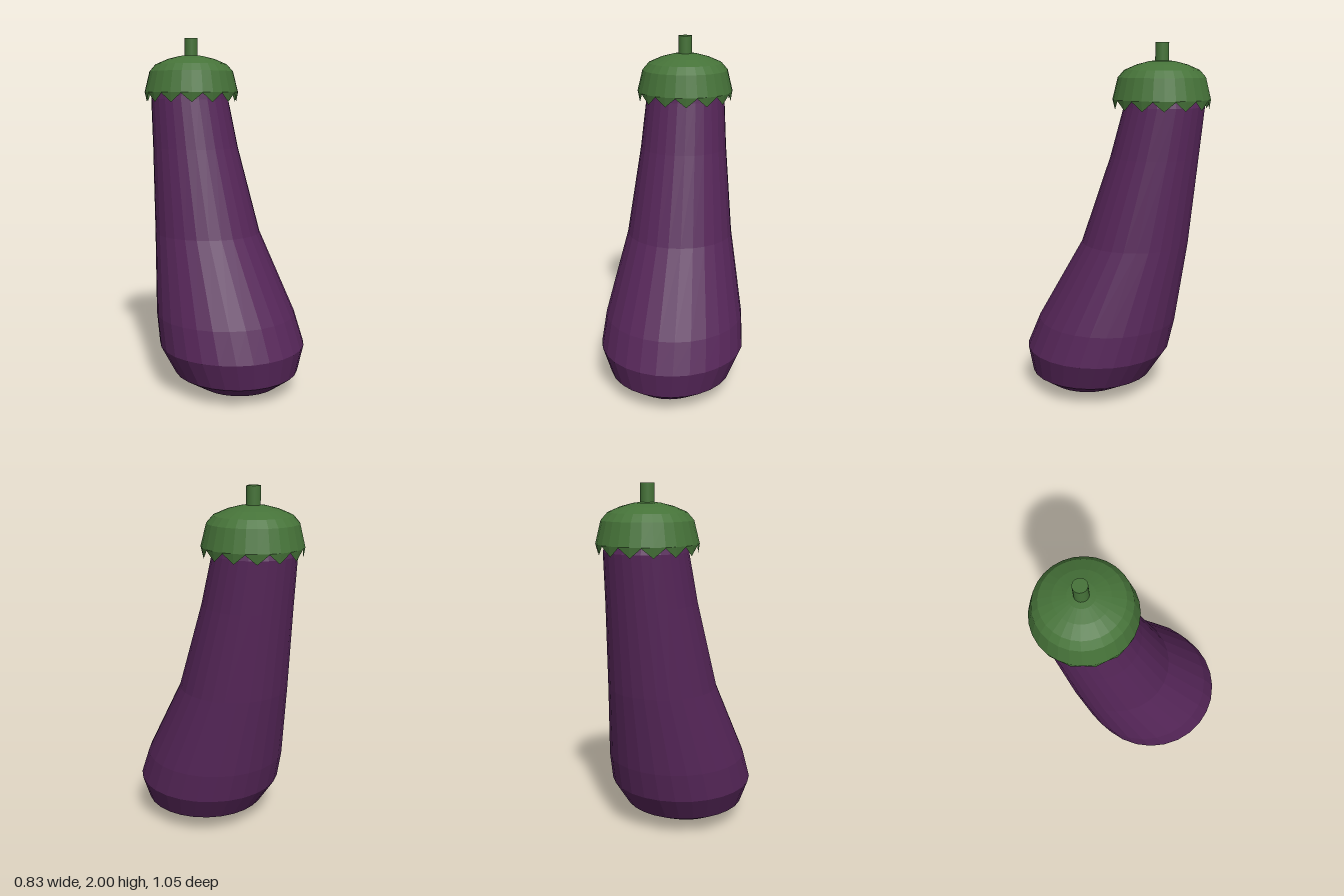
import * as THREE from 'three';

const SIDES = 28;

// Faceted skin through horizontal rings, listed bottom to top.
// ringPoint(ring, k) gives the point of side k on that ring.
function loft(rings, ringPoint) {
  const pos = [], index = [];
  rings.forEach((ring) => {
    for (let k = 0; k < SIDES; k++) pos.push(...ringPoint(ring, k));
  });
  for (let i = 0; i < rings.length - 1; i++) {
    for (let k = 0; k < SIDES; k++) {
      const n = (k + 1) % SIDES;
      const a = i * SIDES + k, b = i * SIDES + n;
      const c = a + SIDES, d = b + SIDES;
      if (rings[i].r > 0) index.push(a, b, d);
      if (rings[i + 1].r > 0) index.push(a, d, c);
    }
  }
  const indexed = new THREE.BufferGeometry();
  indexed.setAttribute('position', new THREE.Float32BufferAttribute(pos, 3));
  indexed.setIndex(index);
  const geo = indexed.toNonIndexed();
  geo.computeVertexNormals();
  return geo;
}

function circlePoint({ y, r, z }, k) {
  const a = (k / SIDES) * Math.PI * 2;
  return [r * Math.sin(a), y, z + r * Math.cos(a)];
}

export function createModel() {
  const purple = new THREE.MeshStandardMaterial({ color: 0x562659 });
  purple.name = 'aubergine purple';
  const green = new THREE.MeshStandardMaterial({ color: 0x467339, side: THREE.DoubleSide });
  green.name = 'leaf green';

  const group = new THREE.Group();
  group.name = 'eggplant';
  const add = (name, geo, mat) => {
    const mesh = new THREE.Mesh(geo, mat);
    mesh.name = name;
    group.add(mesh);
    return mesh;
  };

  // Fruit body: height, radius and z of centre; it leans back as it rises
  const bodyRings = [
    [0, 0, 0.17], [0.005, 0.11, 0.17], [0.035, 0.23, 0.17], [0.11, 0.353, 0.147],
    [0.26, 0.416, 0.11], [0.43, 0.4, 0.055], [0.88, 0.307, -0.106],
    [1.37, 0.25, -0.214], [1.65, 0.227, -0.266], [1.8, 0.19, -0.255], [1.8, 0, -0.255],
  ].map(([y, r, z]) => ({ y, r, z }));
  add('body', loft(bodyRings, circlePoint), purple);

  // Leafy cap: an open shell whose lowest ring zigzags into 14 points
  const capZ = -0.25;
  const capRings = [
    { y: 1.685, r: 0.273, z: capZ, toothed: true },
    ...[[1.69, 0.275], [1.81, 0.245], [1.85, 0.21], [1.88, 0.14], [1.898, 0.07], [1.905, 0]]
      .map(([y, r]) => ({ y, r, z: capZ })),
  ];
  const capPoint = (ring, k) => {
    const tip = ring.toothed && k % 2 === 1;
    return circlePoint(tip ? { y: 1.635, r: 0.266, z: capZ } : ring, k);
  };
  add('leafCap', loft(capRings, capPoint), green);

  // Stem
  const stem = add('stem', new THREE.CylinderGeometry(0.038, 0.038, 0.13, 20), green);
  stem.position.set(0, 1.935, capZ);

  return group;
}
